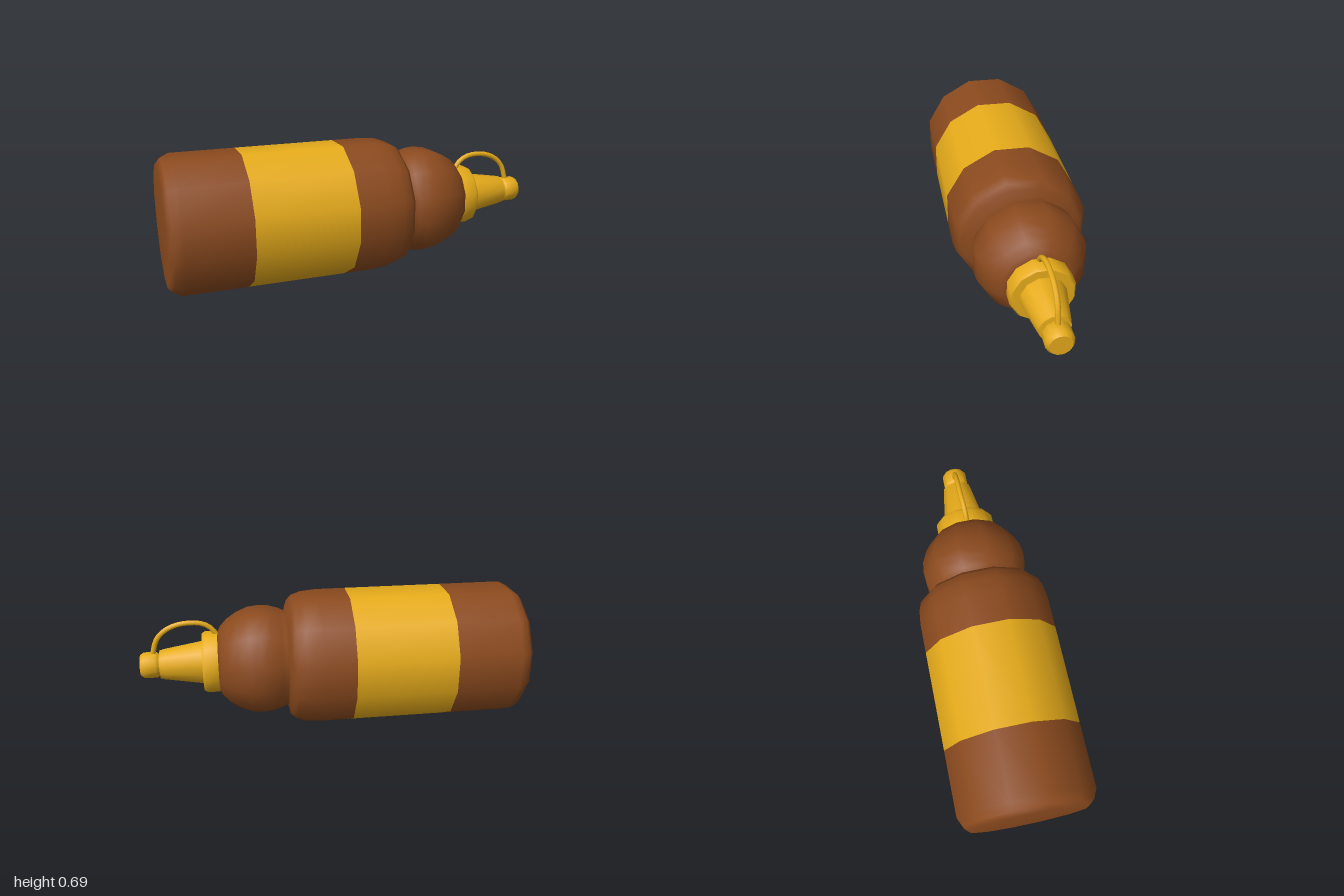
import * as THREE from 'three';
import { toCreasedNormals } from 'three/addons/utils/BufferGeometryUtils.js';

const AXIS_Y = 0.348;
const SIDES = 12;
const brown = new THREE.MeshStandardMaterial({ color: 0x8b4a1e });
const yellow = new THREE.MeshStandardMaterial({ color: 0xe6ab1a });

// Turned part lying along x; profile is a list of [x, radius] from base to tip.
function turned(name, profile, material, creased = false) {
  const points = profile.map(([x, r]) => new THREE.Vector2(r, x));
  let geometry = new THREE.LatheGeometry(points, SIDES, THREE.MathUtils.degToRad(13.8));
  geometry.rotateZ(-Math.PI / 2);
  if (creased) geometry = toCreasedNormals(geometry, 0.8);
  const mesh = new THREE.Mesh(geometry, material);
  mesh.name = name;
  mesh.position.y = AXIS_Y;
  return mesh;
}

export function createModel() {
  const group = new THREE.Group();
  group.name = 'squeezeBottle';

  // Bottle: rounded base, coloured label band, shoulder and bulb
  group.add(turned('bottleBase', [
    [-1, 0], [-1, 0.305], [-0.975, 0.335], [-0.93, 0.357], [-0.6, 0.357],
  ], brown));
  group.add(turned('labelBand', [[-0.6, 0.357], [-0.08, 0.357]], yellow));
  group.add(turned('shoulderAndBulb', [
    [-0.08, 0.357], [0.08, 0.357], [0.16, 0.349], [0.21, 0.332], [0.235, 0.305],
    [0.245, 0.26], [0.255, 0.255], [0.28, 0.268], [0.33, 0.283], [0.38, 0.287],
    [0.44, 0.28], [0.5, 0.255], [0.55, 0.222], [0.585, 0.185], [0.602, 0.15], [0.605, 0],
  ], brown));

  // Cap collar and tapering spout
  group.add(turned('capCollar', [
    [0.6, 0], [0.6, 0.162], [0.665, 0.162], [0.68, 0.152], [0.682, 0.112],
  ], yellow, true));
  group.add(turned('spout', [
    [0.68, 0.113], [0.885, 0.079], [0.89, 0.076], [0.9, 0.076], [0.902, 0.055], [0.92, 0.055],
  ], yellow, true));

  // Tip plug
  group.add(turned('tipPlug', [
    [0.905, 0], [0.905, 0.058], [0.918, 0.068], [0.982, 0.068], [1, 0.055], [1, 0],
  ], yellow, true));

  // Strap joining the collar to the plug
  const path = new THREE.CatmullRomCurve3([
    [0.6, 0.49, 0.006], [0.625, 0.53, 0.004], [0.67, 0.56, 0.001], [0.735, 0.57, -0.003],
    [0.81, 0.56, -0.004], [0.87, 0.53, -0.004], [0.91, 0.485, -0.003], [0.935, 0.405, -0.001],
  ].map((p) => new THREE.Vector3(...p)));
  const strap = new THREE.Mesh(new THREE.TubeGeometry(path, 16, 0.0135, 8), yellow);
  strap.name = 'strap';
  group.add(strap);

  return group;
}
